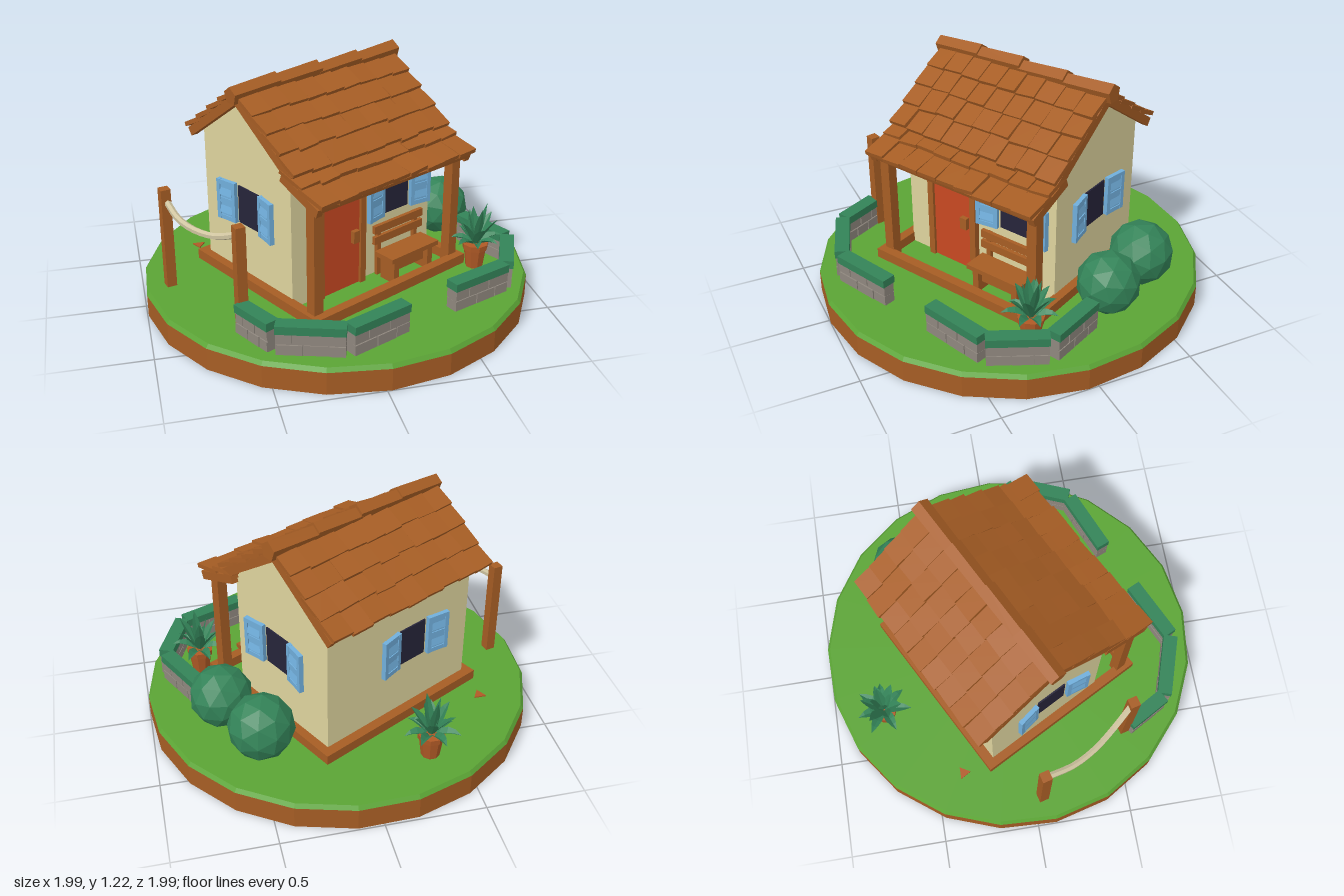
import * as THREE from 'three';

const mat = (name, color, extra = {}) => {
  const m = new THREE.MeshStandardMaterial({ color, flatShading: true, ...extra });
  m.name = name;
  return m;
};

export function createModel() {
  const grass = mat('grass', 0x5ba435), wood = mat('brown wood', 0xa65d24), stone = mat('grey stone', 0x8f877e);
  const leaf = mat('leaf green', 0x338358, { side: THREE.DoubleSide });
  const plaster = mat('cream plaster', 0xded49e), red = mat('red door', 0xc84822), blue = mat('shutter blue', 0x70aedb);
  const glass = mat('dark glass', 0x26243a), ropeMat = mat('rope', 0xcfc4a0), clay = mat('clay', 0xb05a26);

  let seed = 7;
  const rnd = (a) => { // seeded value in -a..a
    seed = (seed * 16807) % 2147483647;
    return (seed / 2147483647 * 2 - 1) * a;
  };
  const model = new THREE.Group();
  model.name = 'cottageIsland';
  const mesh = (parent, name, geo, m, x = 0, y = 0, z = 0) => {
    const o = new THREE.Mesh(geo, m);
    o.name = name;
    o.position.set(x, y, z);
    parent.add(o);
    return o;
  };
  const box = (parent, name, m, w, h, d, x, y, z) => mesh(parent, name, new THREE.BoxGeometry(w, h, d), m, x, y, z);
  const group = (parent, name, x = 0, y = 0, z = 0, ry = 0) => {
    const g = new THREE.Group();
    g.name = name;
    g.position.set(x, y, z);
    g.rotation.y = ry;
    parent.add(g);
    return g;
  };
  const GROUND = 0.135;

  // Round island
  const start = THREE.MathUtils.degToRad(87);
  mesh(model, 'earthDisc', new THREE.CylinderGeometry(1, 1, 0.115, 21, 1, false, start), wood, 0, 0.0575, 0);
  mesh(model, 'lawn', new THREE.CylinderGeometry(0.985, 1, 0.02, 21, 1, false, start), grass, 0, 0.125, 0);

  // House, turned on the island
  const house = group(model, 'house', -0.07, 0, -0.11, 0.485);
  const profile = new THREE.Shape([[-0.33, GROUND], [0.355, GROUND], [0.355, 0.872], [0, 1.12], [-0.33, 0.889]]
    .map(([a, b]) => new THREE.Vector2(a, b)));
  const wallGeo = new THREE.ExtrudeGeometry(profile, { depth: 0.93, bevelEnabled: false });
  wallGeo.translate(0, 0, -0.465).rotateY(-Math.PI / 2);
  mesh(house, 'walls', wallGeo, plaster);

  // Foundation frame
  for (const s of [-1, 1]) box(house, 'foundationSide', wood, 0.05, 0.055, 0.95, s * 0.485, 0.16, 0.105);
  for (const z of [-0.355, 0.565]) box(house, 'foundationEnd', wood, 1.02, 0.055, 0.05, 0, 0.16, z);

  // Tiled roof slopes: boards underneath, rows of tilted overlapping tiles on top
  function slope(name, y, z, angle, length, rows, turn) {
    const pivot = group(house, name, 0, 0, 0, turn);
    const g = group(pivot, 'slope', 0, y, z);
    g.rotation.x = angle;
    box(g, 'roofBoards', wood, 0.98, 0.02, length, 0, 0.01, length / 2);
    for (const s of [-1, 1]) box(g, 'bargeBoard', wood, 0.035, 0.045, length, s * 0.49, 0.003, length / 2);
    const cols = 9, w = 1.02 / cols, l = length / rows;
    for (let r = 0; r < rows; r++) for (let c = 0; c < cols; c++) {
      const t = box(g, 'roofTile', wood, w * 0.99, 0.022, l * 1.2,
        -0.51 + (c + 0.5) * w, 0.038 + rnd(0.004), (r + 0.5) * l + rnd(0.006));
      t.rotation.set(-0.13 + rnd(0.03), rnd(0.04), 0.06 + rnd(0.05));
    }
  }
  slope('frontRoof', 1.125, 0, 0.61, 0.49, 4, 0);
  slope('backRoof', 1.125, 0, 0.61, 0.48, 4, Math.PI);
  slope('porchRoof', 0.838, 0.335, 0.36, 0.275, 2, 0);
  for (let i = 0; i < 4; i++) {
    const cap = new THREE.CylinderGeometry(0.046, 0.05, 0.275, 5, 1, false, Math.PI / 2);
    cap.rotateZ(Math.PI / 2);
    mesh(house, 'ridgeCap', cap, wood, -0.395 + i * 0.263, 1.16 + rnd(0.004), 0).rotation.z = 0.04 + rnd(0.02);
  }

  // Porch posts and beam
  for (const s of [-1, 1]) box(house, 'porchPost', wood, 0.055, 0.63, 0.055, s * 0.46, GROUND + 0.315, 0.52);
  box(house, 'porchBeam', wood, 0.96, 0.035, 0.04, 0, 0.755, 0.52);

  // Door
  const door = group(house, 'door', -0.165, 0, 0.357);
  box(door, 'doorPanel', red, 0.25, 0.55, 0.02, 0, 0.41, 0.005);
  for (const s of [-1, 1]) box(door, 'doorJamb', wood, 0.035, 0.565, 0.04, s * 0.138, 0.4175, 0.01);
  box(door, 'doorLintel', wood, 0.31, 0.03, 0.045, 0, 0.695, 0.01);
  box(door, 'doorHandle', wood, 0.04, 0.065, 0.03, 0.085, 0.41, 0.025);

  // Windows with half-open shutters
  function windowUnit(x, z, ry) {
    const g = group(house, 'window', x, 0.56, z, ry);
    box(g, 'windowPane', glass, 0.165, 0.2, 0.008, 0, 0, 0.003);
    for (const s of [-1, 1]) {
      const sh = group(g, 'shutter', s * 0.155, 0, 0.022, s * -0.17);
      box(sh, 'shutterBoard', blue, 0.115, 0.205, 0.012, 0, 0, 0);
      for (const e of [-1, 1]) box(sh, 'shutterStile', blue, 0.022, 0.215, 0.024, e * 0.05, 0, 0);
      for (const y of [-0.095, 0, 0.095]) box(sh, 'shutterRail', blue, 0.1, 0.024, 0.022, 0, y, 0);
      for (const y of [-0.048, 0.048]) box(sh, 'shutterSlat', blue, 0.08, 0.045, 0.012, 0, y, 0.004).rotation.x = -0.25;
    }
  }
  windowUnit(0.22, 0.357, 0);
  windowUnit(0.467, 0.035, Math.PI / 2);
  windowUnit(-0.467, 0.035, -Math.PI / 2);
  windowUnit(-0.075, -0.332, Math.PI);

  // Porch bench
  const bench = group(house, 'bench', 0.21, 0, 0.45);
  box(bench, 'benchSeat', wood, 0.33, 0.025, 0.13, 0, 0.275, 0.01);
  for (const y of [0.345, 0.405]) box(bench, 'benchSlat', wood, 0.34, 0.042, 0.02, 0, y, -0.06);
  for (const s of [-1, 1]) {
    box(bench, 'benchUpright', wood, 0.025, 0.28, 0.02, s * 0.13, 0.28, -0.07);
    box(bench, 'benchLeg', wood, 0.035, 0.13, 0.1, s * 0.12, 0.2, 0.01);
  }
  box(bench, 'benchStretcher', wood, 0.24, 0.06, 0.02, 0, 0.215, 0.02);

  // Low garden wall: two courses of stones topped by a hedge
  const path = [[-0.59, 0.55, -0.475, 0.755], [-0.465, 0.765, -0.155, 0.865], [-0.14, 0.865, 0.165, 0.725],
    [0.43, 0.61, 0.75, 0.48], [0.765, 0.475, 0.88, 0.2], [0.875, 0.18, 0.735, -0.1]];
  for (const [x1, z1, x2, z2] of path) {
    const len = Math.hypot(x2 - x1, z2 - z1);
    const g = group(model, 'gardenWall', (x1 + x2) / 2, 0, (z1 + z2) / 2, -Math.atan2(z2 - z1, x2 - x1));
    box(g, 'wallCore', stone, len * 0.98, 0.11, 0.055, 0, 0.19, 0);
    for (const [row, cuts] of [[0, [0, 0.4, 0.75, 1]], [1, [0, 0.25, 0.62, 1]]])
      for (let i = 0; i < 3; i++) {
        const w = (cuts[i + 1] - cuts[i]) * len;
        box(g, 'wallStone', stone, w - 0.006, 0.052, 0.066 + rnd(0.004),
          (cuts[i] + cuts[i + 1]) / 2 * len - len / 2, 0.163 + row * 0.057, 0);
      }
    box(g, 'hedgeTop', leaf, len, 0.042, 0.074, 0, 0.266, 0);
  }

  // Faceted bushes
  for (const [x, z, r, turn] of [[0.49, -0.51, 0.166, 0.3], [0.645, -0.235, 0.16, 1.1]]) {
    const b = mesh(model, 'bush', new THREE.IcosahedronGeometry(r, 1), leaf, x, 0.29, z);
    b.rotation.set(0.2, turn, 0.1);
  }

  // Arching pointed leaf, folded along its middle
  function leafGeometry(length, lift, droop, width) {
    const pos = [], idx = [], widths = [0.35, 0.9, 1, 0.65, 0];
    widths.forEach((k, i) => {
      const t = i / 4, out = length * t, y = lift * t - droop * t * t;
      pos.push(out, y, -width * k, out, y - 0.018 * k, 0, out, y, width * k);
      if (i < 4) for (let j = 0; j < 2; j++) {
        const a = i * 3 + j;
        idx.push(a, a + 1, a + 3, a + 1, a + 4, a + 3);
      }
    });
    const g = new THREE.BufferGeometry();
    g.setAttribute('position', new THREE.Float32BufferAttribute(pos, 3));
    g.setIndex(idx);
    g.computeVertexNormals();
    return g;
  }

  // Potted plants
  function pottedPlant(x, z, y0) {
    const g = group(model, 'pottedPlant', x, y0, z);
    mesh(g, 'pot', new THREE.CylinderGeometry(0.06, 0.046, 0.11, 9), clay, 0, 0.055, 0);
    mesh(g, 'potRim', new THREE.CylinderGeometry(0.068, 0.066, 0.03, 9), clay, 0, 0.118, 0);
    for (const [n, len, lift, droop, w, off] of [[7, 0.145, 0.16, 0.13, 0.026, 0], [6, 0.11, 0.23, 0.08, 0.027, 0.4], [4, 0.05, 0.24, 0.03, 0.025, 0.1]])
      for (let i = 0; i < n; i++) {
        const l = mesh(g, 'plantLeaf', leafGeometry(len + rnd(0.015), lift + rnd(0.02), droop, w), leaf, 0, 0.12, 0);
        l.rotation.y = off + i / n * Math.PI * 2 + rnd(0.15);
      }
  }
  pottedPlant(-0.3, -0.715, GROUND);
  pottedPlant(0.7, 0.21, GROUND);

  // Rope fence
  for (const [x, z] of [[-0.87, 0.04], [-0.58, 0.53]])
    box(model, 'fencePost', wood, 0.05, 0.535, 0.05, x, 0.402, z).rotation.y = 0.25;
  const rope = new THREE.CatmullRomCurve3([[-0.86, 0.6, 0.05], [-0.82, 0.57, 0.19], [-0.755, 0.56, 0.31], [-0.67, 0.572, 0.42], [-0.585, 0.62, 0.52]]
    .map((p) => new THREE.Vector3(...p)));
  mesh(model, 'rope', new THREE.TubeGeometry(rope, 12, 0.017, 6), ropeMat);

  // Clay shard lying on the lawn
  mesh(model, 'clayShard', new THREE.CylinderGeometry(0.036, 0.036, 0.008, 3), clay, -0.68, 0.138, -0.35);
  return model;
}
